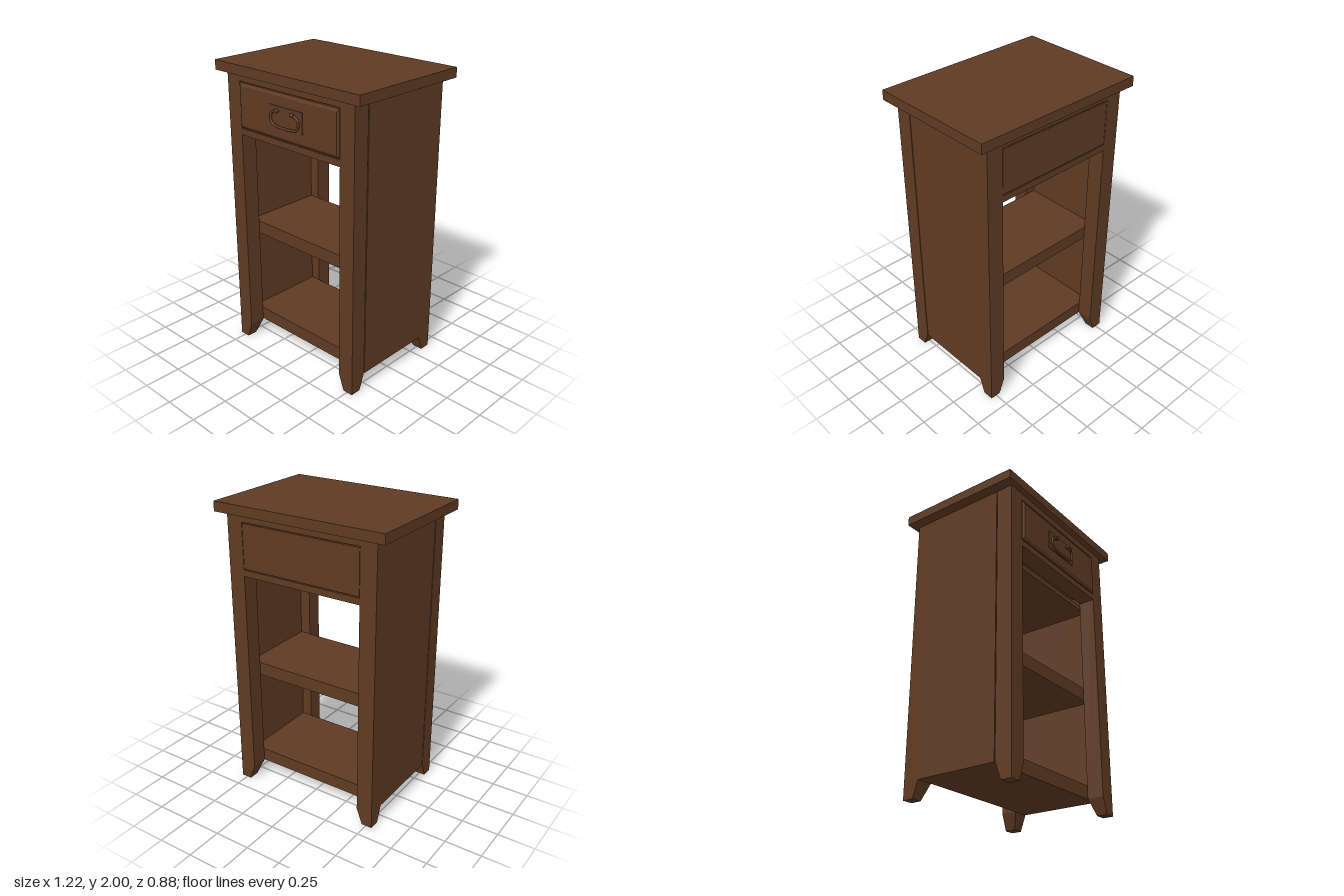
import * as THREE from 'three';

const wood = new THREE.MeshStandardMaterial({ color: 0x5e3a22 });
wood.name = 'brown wood';

export function createModel() {
  const group = new THREE.Group();
  group.name = 'sideTable';

  const add = (name, geometry) => {
    const mesh = new THREE.Mesh(geometry, wood);
    mesh.name = name;
    group.add(mesh);
    return mesh;
  };

  // Box given by its extents on each axis
  const box = (name, x0, x1, y0, y1, z0, z1) => {
    const g = new THREE.BoxGeometry(x1 - x0, y1 - y0, z1 - z0);
    g.translate((x0 + x1) / 2, (y0 + y1) / 2, (z0 + z1) / 2);
    return add(name, g);
  };

  const X = 0.542, Z = 0.4, LEG = 0.113, TOP = 1.935, FOOT = 0.11;
  const inX = X - LEG, inZ = Z - LEG;

  // Table top
  box('tableTop', -0.612, 0.612, TOP, 2, -0.44, 0.44);

  // Posts with feet that taper on their two inner sides
  for (const sx of [-1, 1]) {
    for (const sz of [-1, 1]) {
      box(sz > 0 ? 'frontLeg' : 'backLeg',
        Math.min(sx * inX, sx * X), Math.max(sx * inX, sx * X), FOOT, TOP,
        Math.min(sz * inZ, sz * Z), Math.max(sz * inZ, sz * Z));
      const foot = new THREE.BoxGeometry(LEG, FOOT, LEG);
      foot.translate(sx * (X - LEG / 2), FOOT / 2, sz * (Z - LEG / 2));
      const p = foot.attributes.position;
      for (let i = 0; i < p.count; i++) {
        if (p.getY(i) > 0.01) continue;
        if (Math.abs(p.getX(i)) < X - 0.01) p.setX(i, sx * (inX + 0.04));
        if (Math.abs(p.getZ(i)) < Z - 0.01) p.setZ(i, sz * (inZ + 0.04));
      }
      foot.computeVertexNormals();
      add('foot', foot);
    }
    // Side panel, with a narrow gap behind the front leg
    box('sidePanel', Math.min(sx * 0.5, sx * X), Math.max(sx * 0.5, sx * X),
      FOOT, TOP, -inZ, 0.281);
  }

  // Shelves and the board under the drawer
  for (const [name, y0, y1] of [['bottomShelf', FOOT, 0.2], ['middleShelf', 0.795, 0.885], ['drawerBoard', 1.49, 1.526]]) {
    box(name, -0.5, 0.5, y0, y1, -inZ, 0.281);
  }

  // Rails above and below the drawer, front and back
  for (const [side, z0, z1] of [['front', inZ, Z], ['back', -Z, -inZ]]) {
    box(side + 'TopRail', -inX, inX, 1.886, TOP, z0, z1);
    box(side + 'LowerRail', -inX, inX, 1.535, 1.578, z0, z1);
  }

  // Drawer, its back panel and the bevelled front
  const dx = inX - 0.003, dy0 = 1.585, dy1 = 1.879;
  box('drawerBody', -dx, dx, dy0, dy1, -inZ, 0.281);
  box('backPanel', -dx, dx, dy0, dy1, -Z, -inZ);
  box('drawerFront', -dx, dx, dy0, dy1, inZ, Z);
  const bevel = new THREE.BoxGeometry(2 * dx, dy1 - dy0, 0.012);
  const bp = bevel.attributes.position;
  for (let i = 0; i < bp.count; i++) {
    if (bp.getZ(i) < 0) continue;
    bp.setX(i, bp.getX(i) - Math.sign(bp.getX(i)) * 0.012);
    bp.setY(i, bp.getY(i) - Math.sign(bp.getY(i)) * 0.018);
  }
  bevel.computeVertexNormals();
  bevel.translate(0, (dy0 + dy1) / 2, Z + 0.006);
  add('drawerBevel', bevel);

  // Handle: back plate, two knobs and a hanging bail
  box('handlePlate', -0.142, 0.142, 1.665, 1.8, 0.412, 0.417);
  for (const s of [-1, 1]) {
    const stem = new THREE.CylinderGeometry(0.009, 0.012, 0.018, 16);
    stem.rotateX(Math.PI / 2).translate(s * 0.066, 1.772, 0.425);
    add('handleStem', stem);
    const knob = new THREE.SphereGeometry(0.014, 16, 10);
    knob.scale(1, 1, 0.6).translate(s * 0.066, 1.772, 0.433);
    add('handleKnob', knob);
  }
  const half = [[0.066, 1.768], [0.095, 1.765], [0.116, 1.745], [0.119, 1.715], [0.107, 1.69], [0.08, 1.678]];
  const points = [
    ...half.map(([x, y]) => new THREE.Vector3(-x, y, 0.427)),
    ...half.slice().reverse().map(([x, y]) => new THREE.Vector3(x, y, 0.427)),
  ];
  add('handleBail', new THREE.TubeGeometry(new THREE.CatmullRomCurve3(points), 64, 0.008, 10));

  return group;
}
